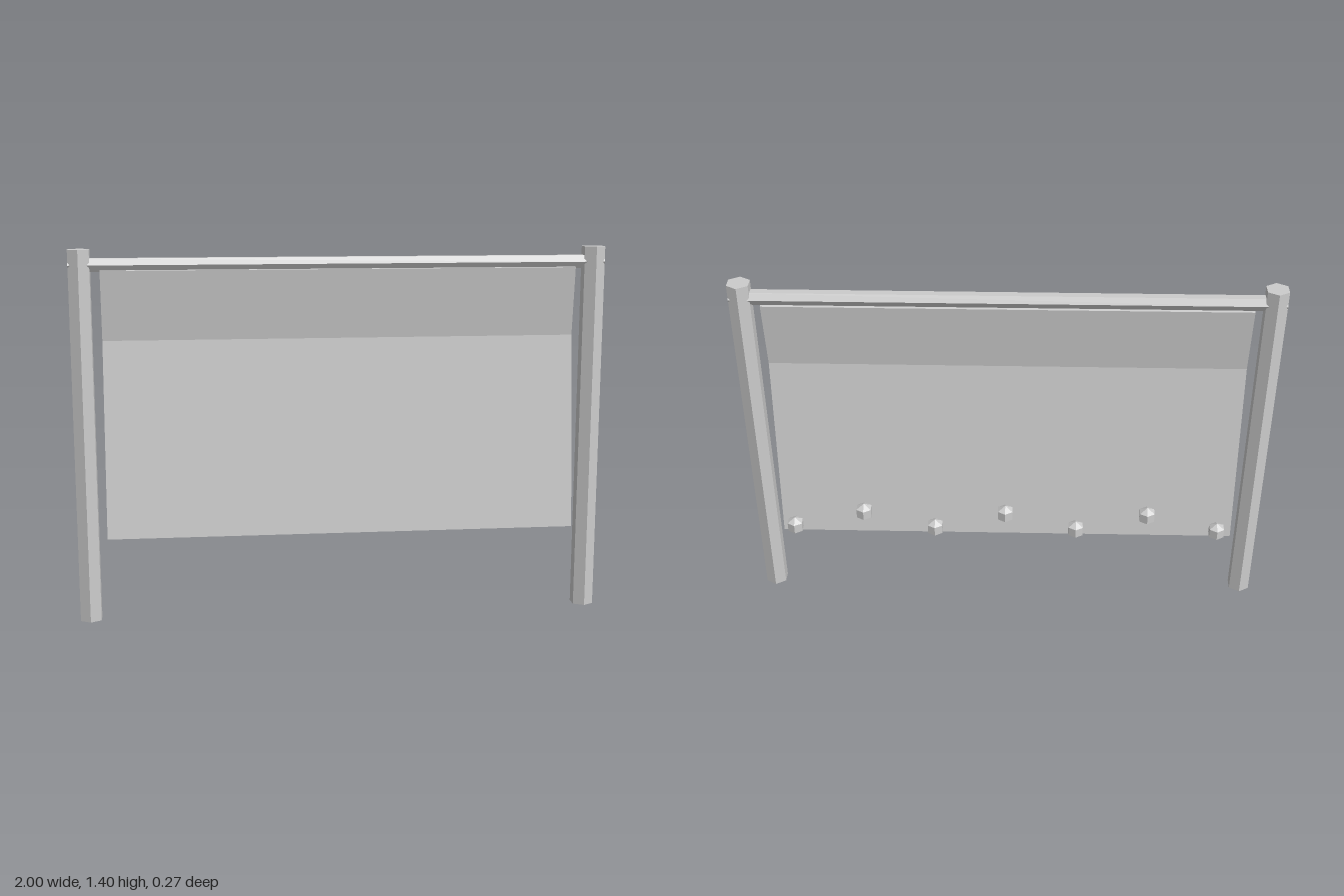
import * as THREE from 'three';

export function createModel() {
  const model = new THREE.Group();
  model.name = 'hangingScreen';
  const grey = new THREE.MeshStandardMaterial({ color: 0xcccccc, flatShading: true });
  grey.name = 'plain grey';

  const axisZ = 0.045; // depth of the frame's centre line

  function add(name, geometry, x, y, z) {
    const mesh = new THREE.Mesh(geometry, grey);
    mesh.name = name;
    mesh.position.set(x, y, z);
    model.add(mesh);
    return mesh;
  }

  // Hexagonal posts
  const postHeight = 1.405;
  const postGeometry = new THREE.CylinderGeometry(0.045, 0.045, postHeight, 6);
  add('leftPost', postGeometry, 0.961, postHeight / 2, axisZ);
  add('rightPost', postGeometry, -0.961, postHeight / 2, axisZ);

  // Hexagonal crossbar, running through both posts
  const barGeometry = new THREE.CylinderGeometry(0.028, 0.028, 2, 6).rotateZ(Math.PI / 2);
  add('crossbar', barGeometry, 0, 1.348, axisZ);

  // Two thin sheets, leaning opposite ways and crossing below the bar
  const tilt = Math.atan(0.115);
  const sheetGeometry = new THREE.BoxGeometry(1.77, 1.0, 0.011);
  for (const side of [1, -1]) {
    const sheet = add(side > 0 ? 'frontSheet' : 'backSheet', sheetGeometry, 0, 0.8325, axisZ + side * 0.0273);
    sheet.rotation.x = -side * tilt;
  }

  // Row of faceted knobs behind the sheets, alternating low and high
  const knobGeometry = new THREE.SphereGeometry(0.037, 6, 3).rotateY(Math.PI / 2);
  for (let i = 0; i < 7; i++) {
    add('knob' + (i + 1), knobGeometry, 0.003 + (i - 3) * 0.274, i % 2 ? 0.483 : 0.41, -0.103);
  }

  return model;
}
